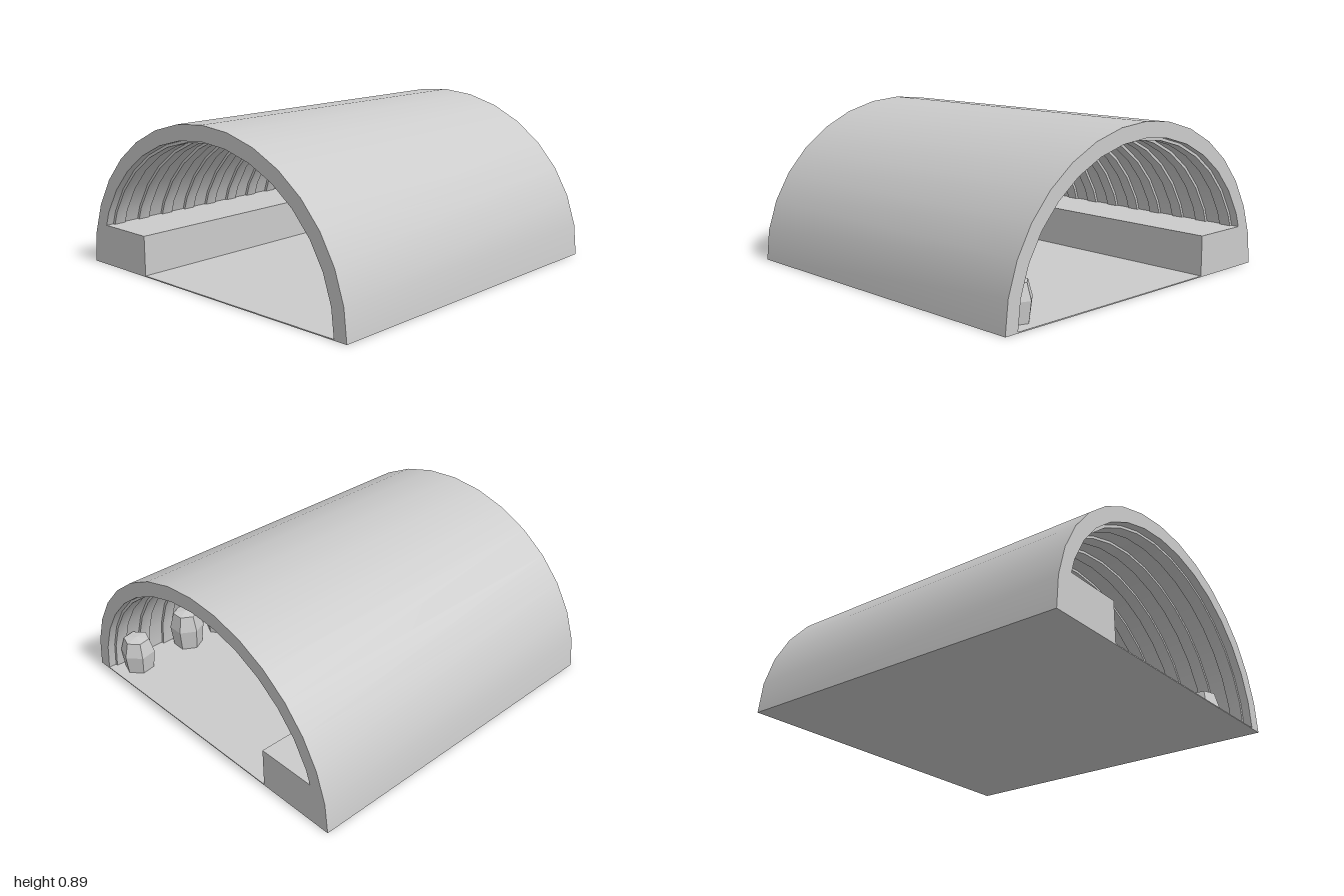
import * as THREE from 'three';
import { toCreasedNormals } from 'three/addons/utils/BufferGeometryUtils.js';

const material = new THREE.MeshStandardMaterial({ color: 0xcccccc });
const SEGMENTS = 16;

// Half ellipse running from +x over the top to -x
function halfEllipse(rx, ry) {
  return Array.from({ length: SEGMENTS + 1 }, (_, i) => {
    const a = (i / SEGMENTS) * Math.PI;
    return new THREE.Vector2(rx * Math.cos(a), ry * Math.sin(a));
  });
}

// Arch-shaped band centred on z
function archGeometry(outer, inner, depth) {
  const shape = new THREE.Shape([
    ...halfEllipse(...outer), ...halfEllipse(...inner).reverse(),
  ]);
  const geometry = new THREE.ExtrudeGeometry(shape, { depth, bevelEnabled: false });
  geometry.translate(0, 0, -depth / 2);
  return toCreasedNormals(geometry, 0.5);
}

function addMesh(parent, name, geometry, x = 0, y = 0, z = 0) {
  const mesh = new THREE.Mesh(geometry, material);
  mesh.name = name;
  mesh.position.set(x, y, z);
  parent.add(mesh);
  return mesh;
}

// Six-sided block, widest below the middle
function blockGeometry() {
  const profile = [[0, 0], [0.085, 0], [0.1, 0.13], [0.075, 0.225], [0, 0.235]]
    .map(([r, y]) => new THREE.Vector2(r, y));
  const geometry = new THREE.LatheGeometry(profile, 6).toNonIndexed();
  geometry.computeVertexNormals();
  return geometry;
}

export function createModel() {
  const model = new THREE.Group();
  model.name = 'tunnel';

  // Vault, floor and raised platform
  addMesh(model, 'vault', archGeometry([0.98, 0.895], [0.9, 0.81], 2));
  addMesh(model, 'floor', new THREE.BoxGeometry(1.94, 0.006, 2), 0, 0.003, 0);
  addMesh(model, 'platform', new THREE.BoxGeometry(0.41, 0.23, 2), -0.715, 0.115, 0);

  // Thin ribs lining the inside of the vault
  const ribs = new THREE.Group();
  ribs.name = 'ribs';
  model.add(ribs);
  const ribGeometry = archGeometry([0.905, 0.815], [0.884, 0.795], 0.07);
  const ribCount = 12;
  for (let i = 0; i < ribCount; i++) {
    addMesh(ribs, 'rib', ribGeometry, 0, 0, -0.92 + (i * 1.84) / (ribCount - 1));
  }

  // Row of blocks along the left wall: z, height scale, turn
  const blocks = new THREE.Group();
  blocks.name = 'blocks';
  model.add(blocks);
  const geometry = blockGeometry();
  const row = [
    [-0.86, 0.9, 0.2], [-0.5, 1.0, 0.5], [-0.25, 1.05, 0.1], [-0.03, 1.12, 0.7],
    [0.2, 1.0, 0.35], [0.48, 1.05, 0.9], [0.76, 1.0, 0.15],
  ];
  for (const [z, height, turn] of row) {
    const block = addMesh(blocks, 'block', geometry, 0.79, 0, z);
    block.scale.y = height;
    block.rotation.y = turn;
  }
  return model;
}
